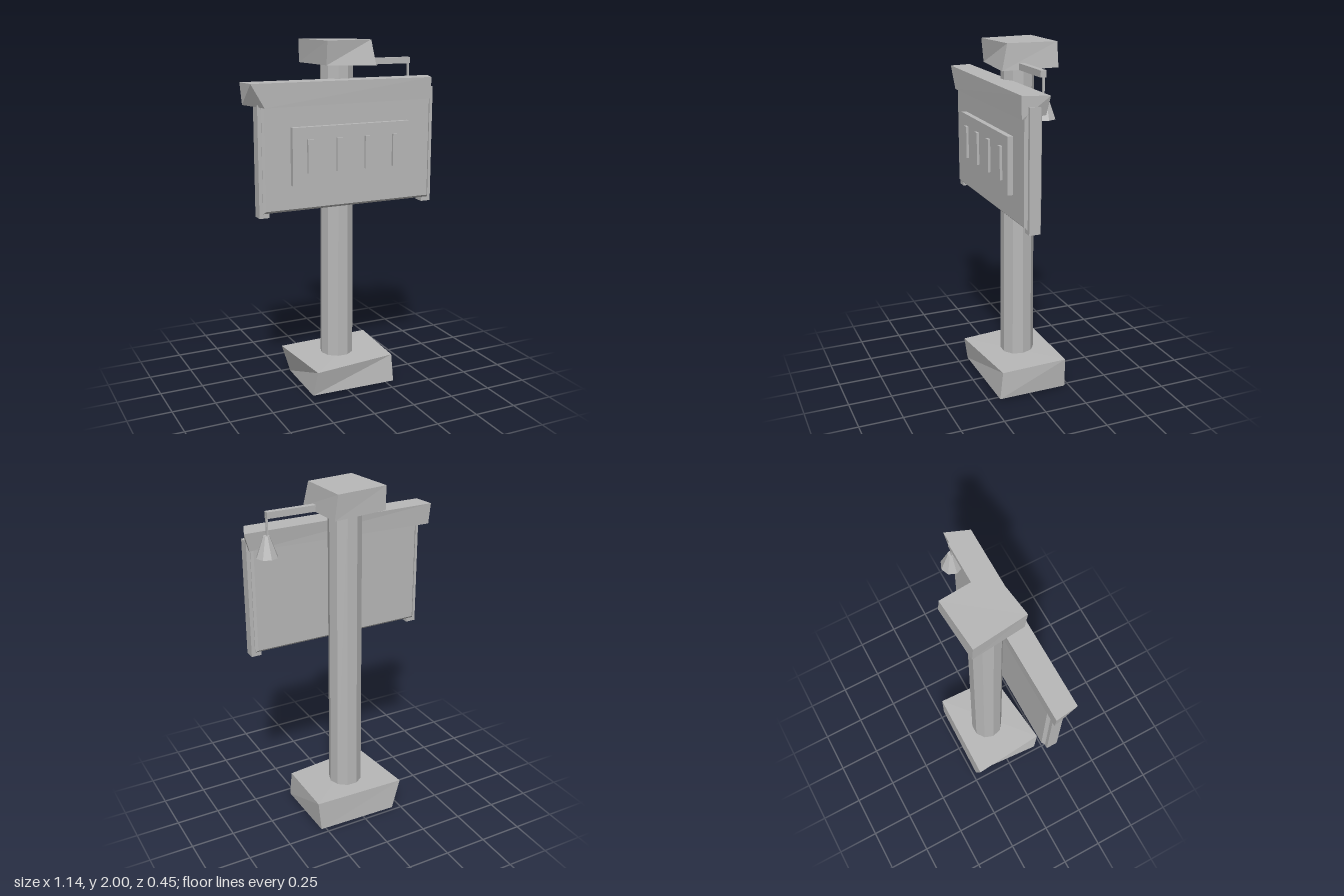
import * as THREE from 'three';

export function createModel() {
  const model = new THREE.Group();
  model.name = 'signpost';
  const grey = new THREE.MeshStandardMaterial({ color: 0xb8b8b8, flatShading: true });
  grey.name = 'plain grey';

  const add = (name, geometry, x = 0, y = 0, z = 0) => {
    const mesh = new THREE.Mesh(geometry, grey);
    mesh.name = name;
    mesh.position.set(x, y, z);
    model.add(mesh);
    return mesh;
  };

  // Box given by its low and high limits
  const slab = (name, [x0, x1], [y0, y1], [z0, z1]) =>
    add(name, new THREE.BoxGeometry(x1 - x0, y1 - y0, z1 - z0),
      (x0 + x1) / 2, (y0 + y1) / 2, (z0 + z1) / 2);

  // Crooked block: four bottom and four top corners,
  // each in the order back left, back right, front right, front left
  const block = (name, bottom, top) => {
    const geometry = new THREE.BoxGeometry(1, 1, 1);
    const p = geometry.attributes.position;
    for (let i = 0; i < p.count; i++) {
      const right = p.getX(i) > 0;
      const corner = p.getZ(i) > 0 ? (right ? 2 : 3) : (right ? 1 : 0);
      p.setXYZ(i, ...(p.getY(i) > 0 ? top : bottom)[corner]);
    }
    geometry.computeVertexNormals();
    return add(name, geometry);
  };

  // Foot and cap stones
  block('base',
    [[-0.2, 0, -0.228], [0.28, 0.005, -0.22], [0.29, 0.01, 0.19], [-0.235, 0.025, 0.2]],
    [[-0.255, 0.175, -0.22], [0.295, 0.185, -0.215], [0.285, 0.17, 0.17], [-0.215, 0.17, 0.225]]);
  block('cap',
    [[-0.14, 1.87, -0.18], [0.17, 1.86, -0.2], [0.185, 1.86, 0.13], [-0.11, 1.87, 0.12]],
    [[-0.145, 2, -0.175], [0.15, 1.995, -0.2], [0.17, 2, 0.095], [-0.11, 2, 0.132]]);

  // Ten-sided post
  add('post', new THREE.CylinderGeometry(0.092, 0.097, 1.74, 10, 1, false,
    THREE.MathUtils.degToRad(17)), 0.018, 1.02, -0.026);

  // Board with chamfered edges
  const bevel = 0.013;
  const outline = new THREE.Shape();
  outline.moveTo(-0.49 + bevel, 1.1 + bevel);
  outline.lineTo(0.527 - bevel, 1.1 + bevel);
  outline.lineTo(0.527 - bevel, 1.705 - bevel);
  outline.lineTo(-0.49 + bevel, 1.705 - bevel);
  outline.closePath();
  add('board', new THREE.ExtrudeGeometry(outline, {
    depth: 0.096 - 2 * bevel, bevelSize: bevel, bevelThickness: bevel, bevelSegments: 1,
  }), 0, 0, 0.05 + bevel);

  // Side rails and the crooked header over the board
  slab('rightRail', [-0.51, -0.452], [1.075, 1.735], [0.068, 0.13]);
  slab('leftRail', [0.49, 0.547], [1.075, 1.735], [0.068, 0.13]);
  block('header',
    [[-0.56, 1.675, 0.04], [0.54, 1.69, 0.04], [0.515, 1.67, 0.16], [-0.48, 1.665, 0.16]],
    [[-0.57, 1.793, 0.036], [0.57, 1.79, 0.03], [0.518, 1.79, 0.162], [-0.555, 1.793, 0.16]]);

  // Raised plate with four upright bars
  slab('plate', [-0.333, 0.37], [1.245, 1.557], [0.14, 0.176]);
  for (let i = 0; i < 4; i++) {
    const x = -0.233 + i * 0.171;
    slab('bar', [x - 0.017, x + 0.017], [1.31, 1.492], [0.17, 0.19]);
  }

  // Arm with a hanging lamp
  slab('lampArm', [0.12, 0.452], [1.86, 1.895], [0, 0.032]);
  slab('lampRod', [0.444, 0.454], [1.75, 1.87], [0.01, 0.02]);
  add('lampShade', new THREE.CylinderGeometry(0.017, 0.06, 0.115, 8), 0.455, 1.712, 0.012);

  return model;
}
